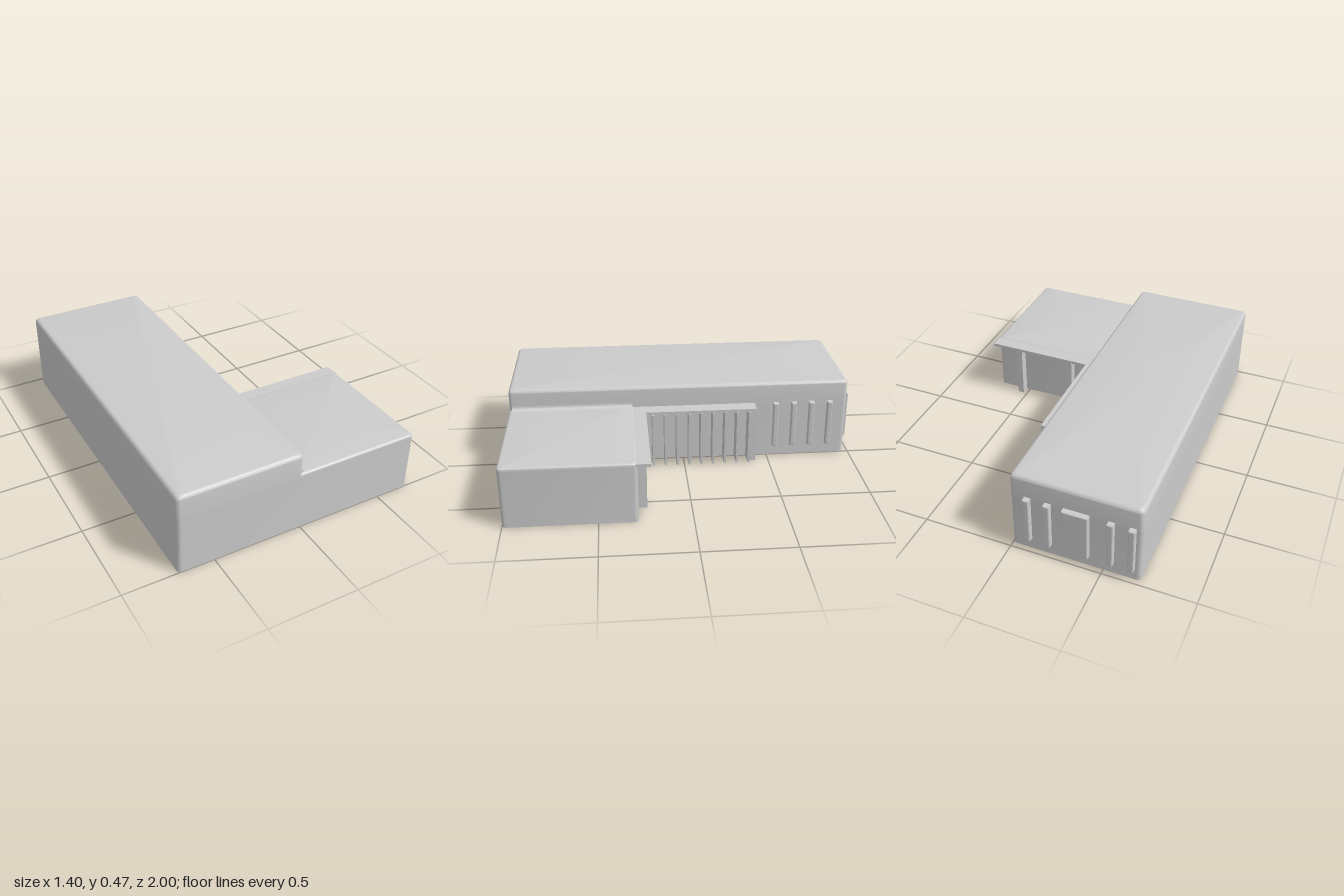
import * as THREE from 'three';
import { toCreasedNormals, mergeVertices } from 'three/addons/utils/BufferGeometryUtils.js';

const mat = new THREE.MeshStandardMaterial({ color: 0xcccccc, side: THREE.DoubleSide });

// Closed outline in the ground plane; each corner is [x, z, radius]
function outline(corners) {
  const pts = [];
  const n = corners.length;
  corners.forEach(([x, z, r], i) => {
    const c = new THREE.Vector2(x, z);
    const toward = (j) => {
      const [px, pz] = corners[(j + n) % n];
      return new THREE.Vector2(px - x, pz - z).setLength(r).add(c);
    };
    if (!r) pts.push(c);
    else pts.push(...new THREE.QuadraticBezierCurve(toward(i - 1), c, toward(i + 1)).getPoints(5));
  });
  return pts;
}

function rect(x0, x1, z0, z1, r) {
  return outline([[x0, z1, r], [x1, z1, r], [x1, z0, r], [x0, z0, r]]);
}

// Skin a stack of outlines [points, y], optionally closing the top with a fan
function loft(levels, cap) {
  const pos = [], idx = [], n = levels[0][0].length;
  for (const [pts, y] of levels) for (const p of pts) pos.push(p.x, y, p.y);
  for (let k = 0; k < levels.length - 1; k++) {
    for (let i = 0; i < n; i++) {
      const a = k * n + i, b = k * n + (i + 1) % n;
      idx.push(a, b, b + n, a, b + n, a + n);
    }
  }
  if (cap) {
    const [pts, y] = levels[levels.length - 1];
    const base = (levels.length - 1) * n;
    const mid = pts.reduce((s, p) => s.add(p), new THREE.Vector2()).divideScalar(n);
    pos.push(mid.x, y, mid.y);
    for (let i = 0; i < n; i++) idx.push(levels.length * n, base + i, base + (i + 1) % n);
  }
  const g = new THREE.BufferGeometry();
  g.setAttribute('position', new THREE.Float32BufferAttribute(pos, 3));
  g.setIndex(idx);
  return toCreasedNormals(mergeVertices(g), 0.6);
}

// Lid with a rounded top edge of radius e
function lid(x0, x1, z0, z1, yBase, yTop, r, e) {
  const levels = [[rect(x0, x1, z0, z1, r), yBase]];
  for (let i = 0; i <= 5; i++) {
    const a = (i / 5) * Math.PI / 2, d = e * (1 - Math.cos(a));
    levels.push([rect(x0 + d, x1 - d, z0 + d, z1 - d, r), yTop - e + e * Math.sin(a)]);
  }
  return loft(levels, true);
}

export function createModel() {
  const model = new THREE.Group();
  const add = (name, geometry) => {
    const m = new THREE.Mesh(geometry, mat);
    m.name = name;
    model.add(m);
    return m;
  };
  const box = (name, x0, x1, y0, y1, z0, z1) =>
    add(name, new THREE.BoxGeometry(x1 - x0, y1 - y0, z1 - z0))
      .position.set((x0 + x1) / 2, (y0 + y1) / 2, (z0 + z1) / 2);

  // Hollow L-shaped walls, open underneath
  const r = 0.025;
  const plan = outline([[-0.7, 1, r], [0.7, 1, r], [0.7, 0.29, r], [0, 0.29, 0], [0, -0.97, r], [-0.7, -0.97, r]]);
  add('walls', loft([[plan, 0], [plan, 0.33]], false));

  // Tall block and low wing roofs
  add('mainRoof', lid(-0.7, 0, -0.97, 1, 0.33, 0.468, r, 0.022));
  add('wingRoof', lid(-0.04, 0.7, 0.29, 1, 0.33, 0.346, r, 0.014));

  // Cove where the wing roof meets the tall block
  const cove = new THREE.Shape();
  cove.moveTo(0, 0.34);
  cove.lineTo(0.028, 0.346);
  cove.quadraticCurveTo(0, 0.346, 0, 0.374);
  const coveGeo = new THREE.ExtrudeGeometry(cove, { depth: 0.69, bevelEnabled: false, curveSegments: 6 });
  add('roofCove', coveGeo.translate(0, 0, 0.295));

  // Flat eave behind the wing and canopy along the tall block
  box('wingEave', 0, 0.7, 0.325, 0.342, 0.22, 0.3);
  box('canopy', 0, 0.085, 0.325, 0.342, -0.42, 0.22);
  box('canopyEndWall', 0, 0.085, 0.008, 0.33, -0.42, -0.385);

  // Upright fins under the canopy
  for (let i = 0; i < 10; i++) {
    const z = 0.25 - i * 0.07;
    box('fin', 0, 0.093, 0, 0.325, z - 0.006, z + 0.006);
  }

  // Posts under the wing eave
  for (const x of [0.205, 0.54]) box('eavePost', x - 0.018, x + 0.018, 0, 0.325, 0.24, 0.29);

  // Raised windows with softened outer edges
  const windowGeo = (w) => {
    const b = 0.006, h = 0.275;
    const s = new THREE.Shape();
    s.moveTo(-w / 2 + b, -h / 2 + b);
    s.lineTo(w / 2 - b, -h / 2 + b);
    s.lineTo(w / 2 - b, h / 2 - b);
    s.lineTo(-w / 2 + b, h / 2 - b);
    s.closePath();
    return new THREE.ExtrudeGeometry(s, { depth: 0.024, bevelSize: b, bevelThickness: b, bevelSegments: 2 });
  };
  for (const z of [-0.865, -0.757, -0.652, -0.545]) {
    const m = add('sideWindow', windowGeo(0.03));
    m.rotation.y = Math.PI / 2;
    m.position.set(0.005, 0.208, z);
  }
  for (const [x, w] of [[-0.65, 0.034], [-0.54, 0.034], [-0.357, 0.14], [-0.205, 0.034], [-0.095, 0.034]]) {
    const m = add(w > 0.1 ? 'backDoor' : 'backWindow', windowGeo(w));
    m.rotation.y = Math.PI;
    m.position.set(x, 0.208, -0.97);
  }
  return model;
}
